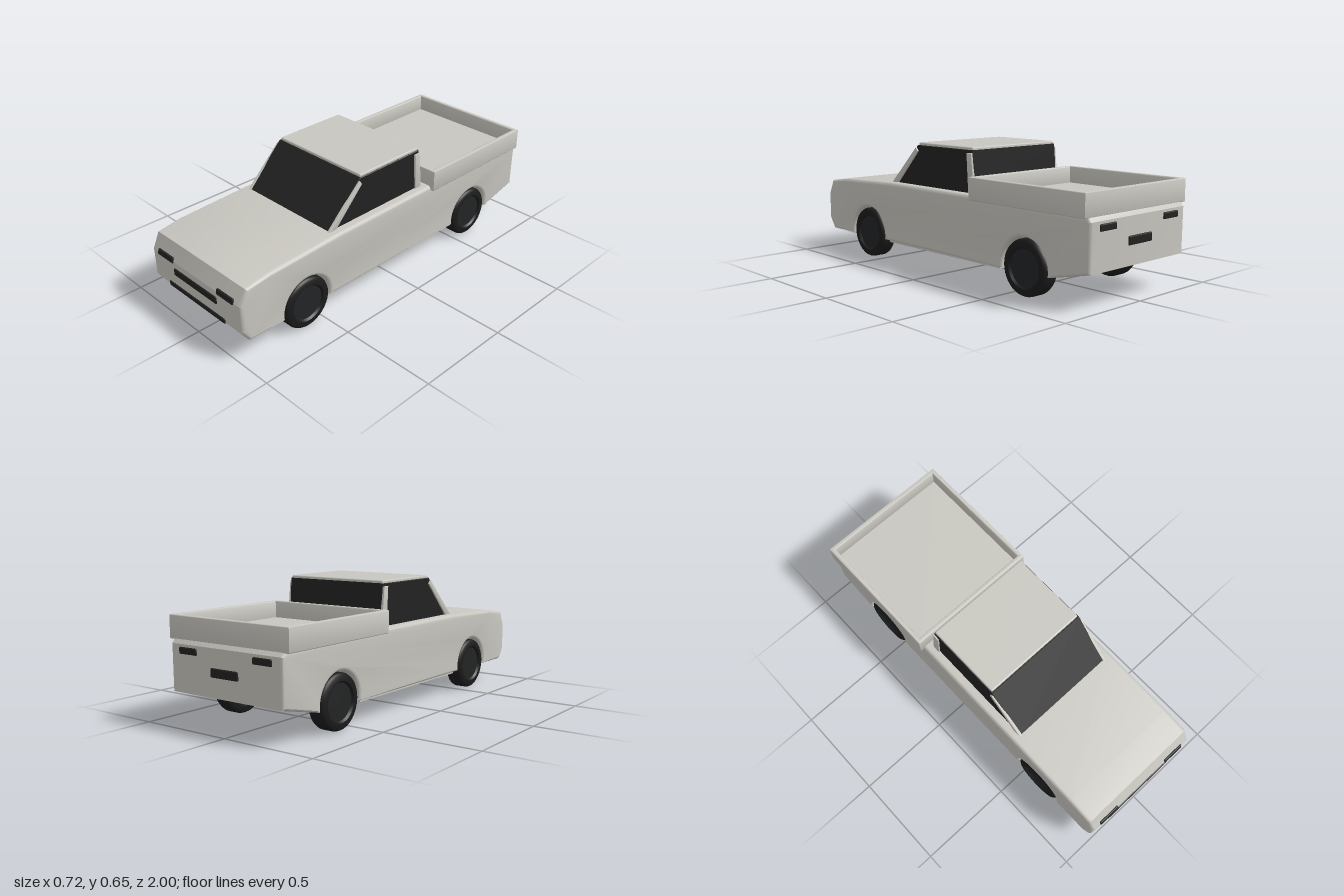
import * as THREE from 'three';
import { toCreasedNormals } from 'three/addons/utils/BufferGeometryUtils.js';
import { RoundedBoxGeometry } from 'three/addons/geometries/RoundedBoxGeometry.js';

const mat = (name, color) => {
  const m = new THREE.MeshStandardMaterial({ color });
  m.name = name;
  return m;
};

// Side profile (z, y) extruded across x, with softly rounded side edges
function prism(shape, width, bevel, segments = 4) {
  const g = new THREE.ExtrudeGeometry(shape, {
    depth: width - 2 * bevel, bevelEnabled: bevel > 0, bevelSize: bevel,
    bevelThickness: bevel, bevelOffset: -bevel, bevelSegments: segments, curveSegments: 28,
  });
  g.translate(0, 0, -(width - 2 * bevel) / 2);
  g.rotateY(-Math.PI / 2);
  return toCreasedNormals(g, 0.42);
}

const outline = (pts) => new THREE.Shape(pts.map(([a, b]) => new THREE.Vector2(a, b)));

export function createModel() {
  const truck = new THREE.Group();
  truck.name = 'pickupTruck';
  const paint = mat('paint', 0xc8c6bf);
  const glass = mat('darkGlass', 0x222222);
  const rubber = mat('rubber', 0x1b1b1b);
  const hubDark = mat('hub', 0x222425);

  const add = (name, geometry, material, x = 0, y = 0, z = 0) => {
    const mesh = new THREE.Mesh(geometry, material);
    mesh.name = name;
    mesh.position.set(x, y, z);
    truck.add(mesh);
    return mesh;
  };

  // Lower body with wheel arches cut right across
  const floorY = 0.113, axleY = 0.136, archR = 0.142;
  const dip = Math.asin((axleY - floorY) / archR);
  const body = new THREE.Shape();
  body.moveTo(-0.955, floorY);
  for (const z of [-0.6, 0.6]) body.absarc(z, axleY, archR, Math.PI + dip, -dip, true);
  [[0.95, floorY], [0.99, 0.17], [0.992, 0.315], [0.955, 0.395], [0.82, 0.415], [0.4, 0.432],
    [-0.3, 0.432], [-0.97, 0.418], [-0.99, 0.395], [-0.988, 0.17]].forEach((p) => body.lineTo(...p));
  body.closePath();
  add('body', prism(body, 0.68, 0.018), paint);
  add('underbody', new THREE.BoxGeometry(0.64, 0.03, 0.86), paint, 0, 0.118, 0);

  // Dark glasshouse with roof and pillars
  add('cabGlass', prism(outline([[0.43, 0.42], [0.215, 0.641], [-0.205, 0.641], [-0.225, 0.42]]), 0.584, 0.003, 1), glass);
  add('roof', new RoundedBoxGeometry(0.574, 0.02, 0.412, 3, 0.007), paint, 0, 0.645, 0.003);
  const frontPillar = prism(outline([[0.437, 0.42], [0.222, 0.63], [0.206, 0.61], [0.388, 0.42]]), 0.016, 0.004, 2);
  const rearPillar = prism(outline([[-0.183, 0.42], [-0.17, 0.627], [-0.205, 0.627], [-0.227, 0.42]]), 0.016, 0.004, 2);
  for (const side of [-1, 1]) {
    add('frontPillar', frontPillar, paint, side * 0.292);
    add('rearPillar', rearPillar, paint, side * 0.292);
  }

  // Cargo bed: a rim of four walls around a raised floor
  const rect = (T, w, d) => new T([[-w, -d], [w, -d], [w, d], [-w, d]].map(([a, b]) => new THREE.Vector2(a, b)));
  const rim = rect(THREE.Shape, 0.36, 0.36);
  rim.holes.push(rect(THREE.Path, 0.337, 0.337));
  const walls = new THREE.ExtrudeGeometry(rim, {
    depth: 0.103, bevelSize: 0.005, bevelThickness: 0.005, bevelOffset: -0.005, bevelSegments: 2,
  });
  walls.rotateX(-Math.PI / 2);
  add('bedWalls', toCreasedNormals(walls, 0.9), paint, 0, 0.415, -0.615);
  add('bedFloor', new THREE.BoxGeometry(0.69, 0.026, 0.69), paint, 0, 0.424, -0.615);

  // Lamps, grille and plate as dark rounded panels
  const panel = (name, w, h, x, y, z, tilt = 0) => {
    add(name, new RoundedBoxGeometry(w, h, 0.014, 2, 0.006), glass, x, y, z).rotation.x = tilt;
  };
  for (const side of [-1, 1]) {
    panel('headlight', 0.122, 0.03, side * 0.227, 0.319, 0.989, -0.2);
    panel('tailLight', 0.11, 0.032, side * 0.225, 0.366, -0.99);
  }
  panel('grille', 0.325, 0.038, 0, 0.263, 0.991);
  panel('lowerIntake', 0.43, 0.026, 0, 0.174, 0.989);
  panel('rearPlate', 0.165, 0.042, 0, 0.285, -0.99);

  // Wheels with rounded shoulders and recessed hubs
  const half = [[0.135, 0.028], [0.131, 0.037], [0.121, 0.044], [0.097, 0.045], [0.088, 0.033]];
  const tyreProfile = [...half.map(([r, y]) => [r, -y]).reverse(), ...half].map(([r, y]) => new THREE.Vector2(r, y));
  const tyre = toCreasedNormals(new THREE.LatheGeometry(tyreProfile, 40).rotateZ(Math.PI / 2), 0.7);
  const hub = new THREE.CylinderGeometry(0.09, 0.09, 0.068, 40).rotateZ(Math.PI / 2);
  for (const x of [-0.295, 0.295]) for (const z of [-0.6, 0.6]) {
    add('tyre', tyre, rubber, x, 0.136, z);
    add('hub', hub, hubDark, x, 0.136, z);
  }
  return truck;
}
